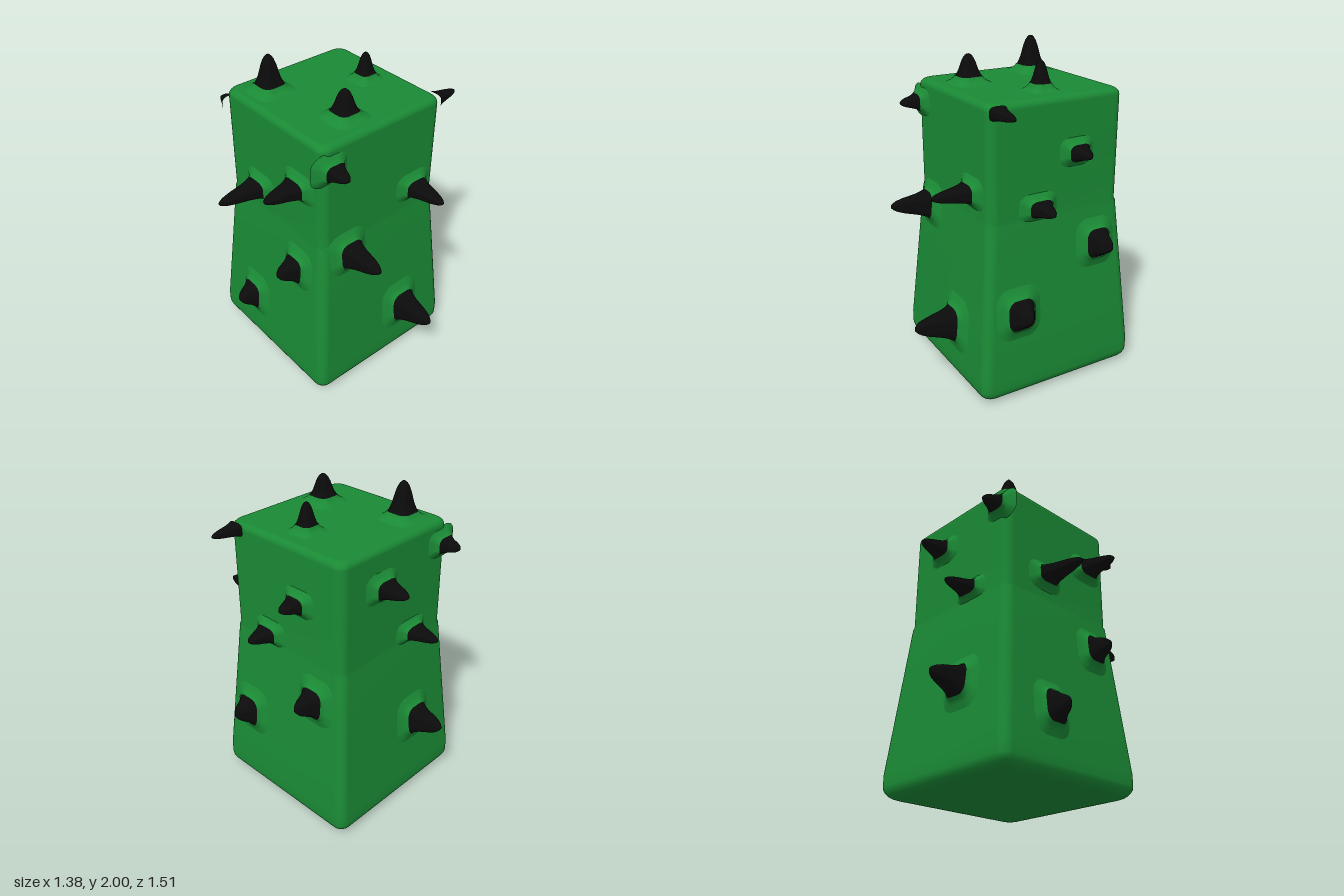
import * as THREE from 'three';

const CX = 0.053, CZ = -0.035, STEP = 1.1, TOP = 1.78;
const green = new THREE.MeshStandardMaterial({ color: 0x1a8a35 });
const black = new THREE.MeshStandardMaterial({ color: 0x0b0b0c });

// Half width of the body at height y: straight above the step, flared below
const halfAt = (y) => (y > STEP ? 0.445 : 0.45 + 0.083 * Math.min(1, (STEP - y) / 0.95));

// Stacks rounded-square rings [half, y], bottom to top; corner(half) is the corner radius
function loft(profile, corner, sx = 1, sz = 1, m = 6) {
  const n = 4 * (m + 1), pos = [], index = [];
  profile.forEach(([h, y], j) => {
    const c = corner(h);
    for (let k = 0; k < 4; k++) {
      const mid = (k + 0.5) * Math.PI / 2;
      for (let i = 0; i <= m; i++) {
        const a = (k + i / m) * Math.PI / 2;
        pos.push(sx * (Math.sign(Math.cos(mid)) * (h - c) + c * Math.cos(a)), y,
          sz * (Math.sign(Math.sin(mid)) * (h - c) + c * Math.sin(a)));
      }
    }
    if (j === 0) return;
    for (let i = 0; i < n; i++) {
      const a = (j - 1) * n + i, b = (j - 1) * n + (i + 1) % n;
      index.push(a, a + n, b, b, a + n, b + n);
    }
  });
  const g = new THREE.BufferGeometry();
  g.setAttribute('position', new THREE.Float32BufferAttribute(pos, 3));
  g.setIndex(index);
  g.computeVertexNormals();
  return g;
}

function mesh(name, geometry, material) {
  const m = new THREE.Mesh(geometry, material);
  m.name = name;
  return m;
}

// Body: rounded bottom edge, flared lower block, straight upper block, rounded top edge
function makeBody() {
  const profile = [[0, 0]], rb = 0.075, rt = 0.04;
  for (let i = 0; i <= 6; i++) {
    const a = i / 6 * Math.PI / 2;
    profile.push([halfAt(0) - rb + rb * Math.sin(a), 0.005 + rb * (1 - Math.cos(a))]);
  }
  for (const y of [0.15, 0.4, 0.75, STEP - 0.01, STEP + 0.005, 1.4]) profile.push([halfAt(y), y]);
  for (let i = 0; i <= 6; i++) {
    const a = i / 6 * Math.PI / 2;
    profile.push([halfAt(TOP) - rt + rt * Math.cos(a), TOP - rt + rt * Math.sin(a)]);
  }
  profile.push([0, TOP]);
  const body = mesh('body', loft(profile, (h) => Math.min(h, 0.06)), green);
  body.position.set(CX, 0, CZ);
  return body;
}

// Spike: green skirt blending out of the body, black rounded thorn above it
const SKIRT = [[2, -0.012], [1.6, 0.004], [1.32, 0.014], [1.12, 0.026], [1, 0.042]];
const THORN = [[1, 0], [0.85, 0.12], [0.72, 0.28], [0.62, 0.45], [0.51, 0.65],
  [0.37, 0.83], [0.24, 0.93], [0.12, 0.985], [0, 1]];

function makeSpike(origin, normal, length, hw, hh, skirted = true) {
  const spike = new THREE.Group();
  spike.name = 'spike';
  const round = (h) => 0.62 * h;
  const base = skirted ? 0.036 : 0;
  if (skirted) spike.add(mesh('spikeSkirt', loft(SKIRT, round, hw, hh), green));
  const thorn = THORN.map(([h, t]) => [h, base + t * (length - base)]);
  spike.add(mesh('spikeThorn', loft(thorn, round, hw, hh), black));
  const u = Math.abs(normal.y) > 0.9 ? new THREE.Vector3(1, 0, 0)
    : new THREE.Vector3(0, 1, 0).cross(normal).normalize();
  const w = u.clone().cross(normal);
  spike.quaternion.setFromRotationMatrix(new THREE.Matrix4().makeBasis(u, normal, w));
  spike.position.copy(origin);
  return spike;
}

// Side spikes per face: [along the face, height, half width, half height, tip reach]
const SIDES = [
  { name: 'frontSpikes', axis: 'z', sign: 1, spikes: [
    [-0.33, 1.64, 0.065, 0.05, 0.555], [0.305, 1.25, 0.077, 0.056, 0.665],
    [-0.21, 1.015, 0.08, 0.085, 0.70], [0.2, 0.385, 0.088, 0.105, 0.755]] },
  { name: 'backSpikes', axis: 'z', sign: -1, spikes: [
    [-0.33, 1.64, 0.065, 0.05, 0.617], [0.18, 1.545, 0.075, 0.055, 0.667],
    [-0.09, 1.16, 0.075, 0.045, 0.682], [-0.09, 0.55, 0.085, 0.095, 0.757]] },
  { name: 'leftSpikes', axis: 'x', sign: 1, spikes: [
    [0.35, 1.735, 0.055, 0.04, 0.67], [-0.16, 1.45, 0.067, 0.05, 0.642],
    [0.093, 1.16, 0.074, 0.05, 0.667], [-0.3, 0.87, 0.08, 0.09, 0.683],
    [0.25, 0.55, 0.087, 0.095, 0.69]] },
  { name: 'rightSpikes', axis: 'x', sign: -1, spikes: [
    [0.21, 1.45, 0.078, 0.056, 0.632], [-0.165, 1.25, 0.078, 0.056, 0.693],
    [0.21, 0.87, 0.075, 0.085, 0.573], [-0.2, 0.39, 0.08, 0.095, 0.597]] },
];

// Top spikes: [x, z, half width, tip height]
const TOPS = [[-0.205, -0.29, 0.077, 2.0], [-0.075, 0.22, 0.073, 1.95], [0.307, -0.035, 0.056, 1.95]];

export function createModel() {
  const model = new THREE.Group();
  model.name = 'spikyBlock';
  model.add(makeBody());

  for (const { name, axis, sign, spikes } of SIDES) {
    const group = new THREE.Group();
    group.name = name;
    for (const [along, y, hw, hh, reach] of spikes) {
      const face = (axis === 'x' ? CX : CZ) + sign * halfAt(y);
      const origin = axis === 'x' ? new THREE.Vector3(face, y, along) : new THREE.Vector3(along, y, face);
      const normal = new THREE.Vector3(0, y < STEP ? 0.09 : 0, 0);
      normal[axis] = sign;
      normal.normalize();
      group.add(makeSpike(origin, normal, sign * (sign * reach - face), hw, hh, y < 1.7));
    }
    model.add(group);
  }

  const topGroup = new THREE.Group();
  topGroup.name = 'topSpikes';
  for (const [x, z, r, tip] of TOPS) {
    topGroup.add(makeSpike(new THREE.Vector3(x, TOP, z), new THREE.Vector3(0, 1, 0), tip - TOP, r, r));
  }
  model.add(topGroup);
  return model;
}
